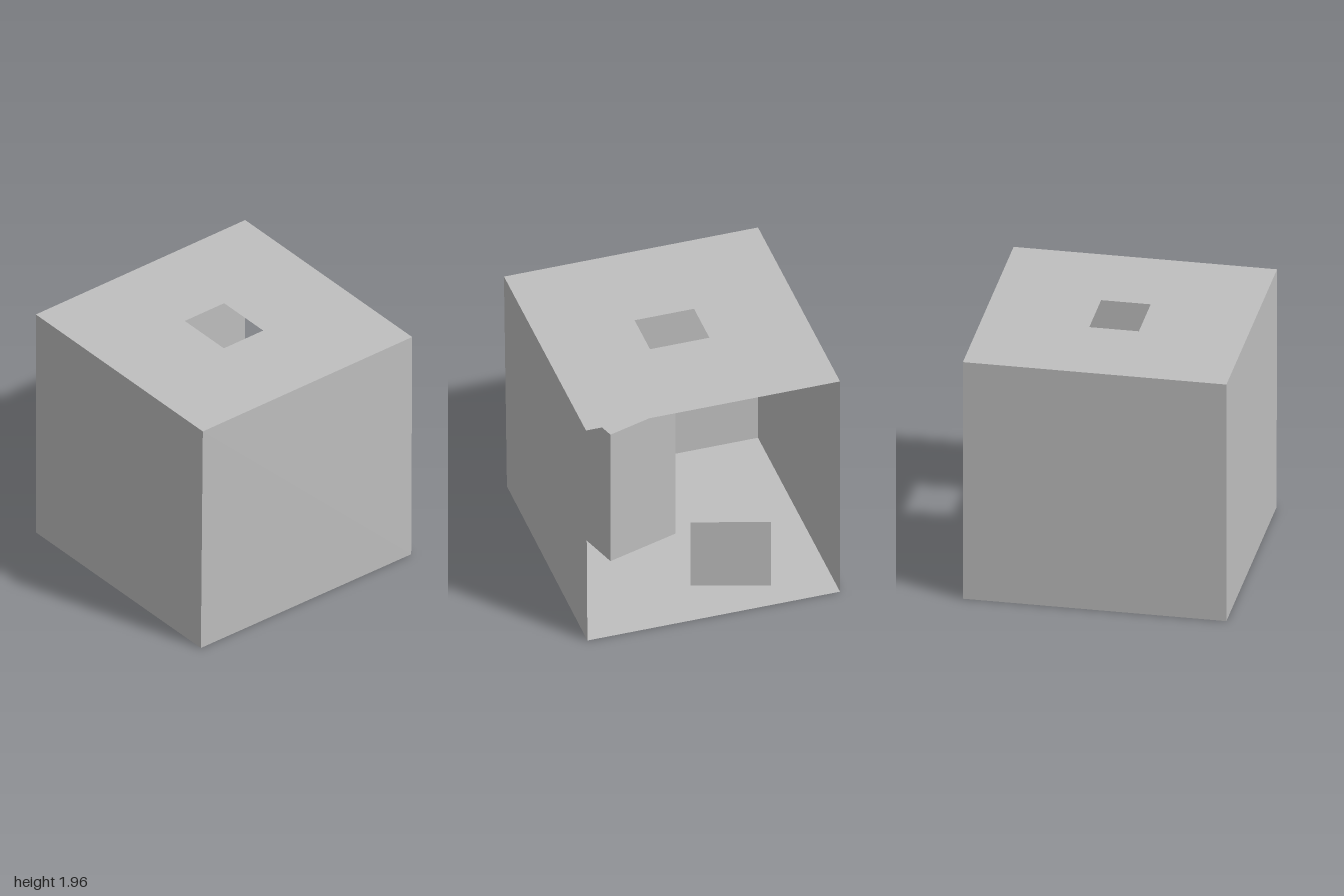
import * as THREE from 'three';

const H = 1.963, R = 0.994; // room height and half width

// Flat panels, each given by four corners counter-clockwise from its front
function panels(quads) {
  const pos = [];
  for (const [a, b, c, d] of quads) pos.push(...a, ...b, ...c, ...a, ...c, ...d);
  const g = new THREE.BufferGeometry();
  g.setAttribute('position', new THREE.Float32BufferAttribute(pos, 3));
  g.computeVertexNormals();
  return g;
}

// Upright block on a four-cornered [x, z] footprint, without an underside
function block(foot, height) {
  const low = foot.map(([x, z]) => [x, 0, z]);
  const high = foot.map(([x, z]) => [x, height, z]);
  const quads = [high];
  for (let i = 0; i < 4; i++) {
    const j = (i + 1) % 4;
    quads.push([low[i], low[j], high[j], high[i]]);
  }
  return panels(quads);
}

export function createModel() {
  const model = new THREE.Group();
  model.name = 'openRoom';
  const grey = new THREE.MeshStandardMaterial({ color: 0xbfbfbf, side: THREE.DoubleSide });
  grey.name = 'plain grey';
  const add = (name, geometry) => {
    const mesh = new THREE.Mesh(geometry, grey);
    mesh.name = name;
    model.add(mesh);
  };

  // Room corners; the left wall leans slightly outward towards the ceiling
  const rightOpen = [-R, 0, -1], rightFar = [-R, 0, 1];
  const leftOpen = [0.983, 0, -1], leftFar = [0.971, 0, 1];
  const topRightOpen = [-R, H, -1], topRightFar = [-R, H, 1];
  const topLeftOpen = [R, H, -1], topLeftFar = [R, H, 1];

  // Floor and three walls, facing inward; the -z side stays open
  add('floor', panels([[rightOpen, rightFar, leftFar, leftOpen]]));
  add('frontWall', panels([[leftFar, rightFar, topRightFar, topLeftFar]]));
  add('rightWall', panels([[rightFar, rightOpen, topRightOpen, topRightFar]]));
  add('leftWall', panels([[leftOpen, leftFar, topLeftFar, topLeftOpen]]));

  // Ceiling with a rectangular light opening
  const rect = (type, x, y) => new type([[-x, -y], [x, -y], [x, y], [-x, y]]
    .map(p => new THREE.Vector2(...p)));
  const ceiling = rect(THREE.Shape, R, 1);
  ceiling.holes.push(rect(THREE.Path, 0.2325, 0.188));
  add('ceiling', new THREE.ShapeGeometry(ceiling).rotateX(Math.PI / 2).translate(0, H, 0));

  // Two turned blocks standing on the floor
  add('shortBlock', block(
    [[-0.529, -0.768], [-0.701, -0.19], [-0.136, -0.027], [0.043, -0.587]], 0.59));
  add('tallBlock', block(
    [[0.519, -0.117], [-0.046, 0.059], [0.129, 0.631], [0.694, 0.452]], 1.18));

  return model;
}
